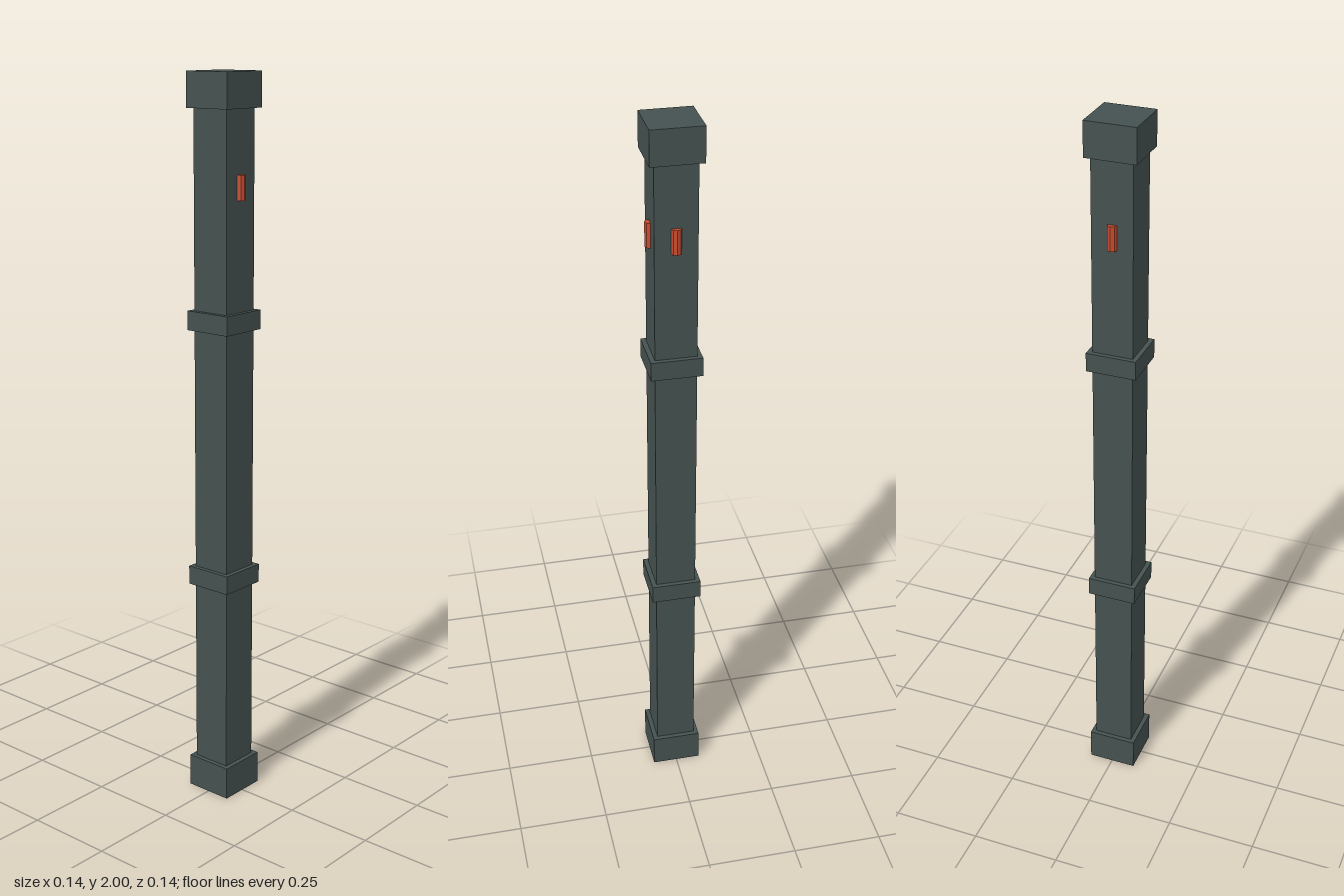
import * as THREE from 'three';

export function createModel() {
  const group = new THREE.Group();
  const metal = new THREE.MeshStandardMaterial({ color: 0x455250 });
  metal.name = 'dark metal';
  const orange = new THREE.MeshStandardMaterial({ color: 0xc84b2f, flatShading: true });
  orange.name = 'orange light';

  // Square block with its bottom and top heights
  function block(name, width, bottom, top) {
    const mesh = new THREE.Mesh(new THREE.BoxGeometry(width, top - bottom, width), metal);
    mesh.position.y = (bottom + top) / 2;
    mesh.name = name;
    group.add(mesh);
  }

  // Shaft, end blocks and the two collars
  block('shaft', 0.111, 0.05, 1.95);
  block('base', 0.137, 0, 0.092);
  block('cap', 0.137, 1.908, 2);
  block('lowerCollar', 0.137, 0.616, 0.668);
  block('upperCollar', 0.137, 1.332, 1.384);

  // Upright marker lights, half sunk into the front, left and back faces
  const lightGeometry = new THREE.CylinderGeometry(0.0135, 0.0135, 0.066, 8);
  const lights = [['frontLight', 0, 1], ['leftLight', 1, 0], ['backLight', 0, -1]];
  for (const [name, x, z] of lights) {
    const light = new THREE.Mesh(lightGeometry, orange);
    light.position.set(x * 0.055, 1.709, z * 0.055);
    light.name = name;
    group.add(light);
  }

  return group;
}
